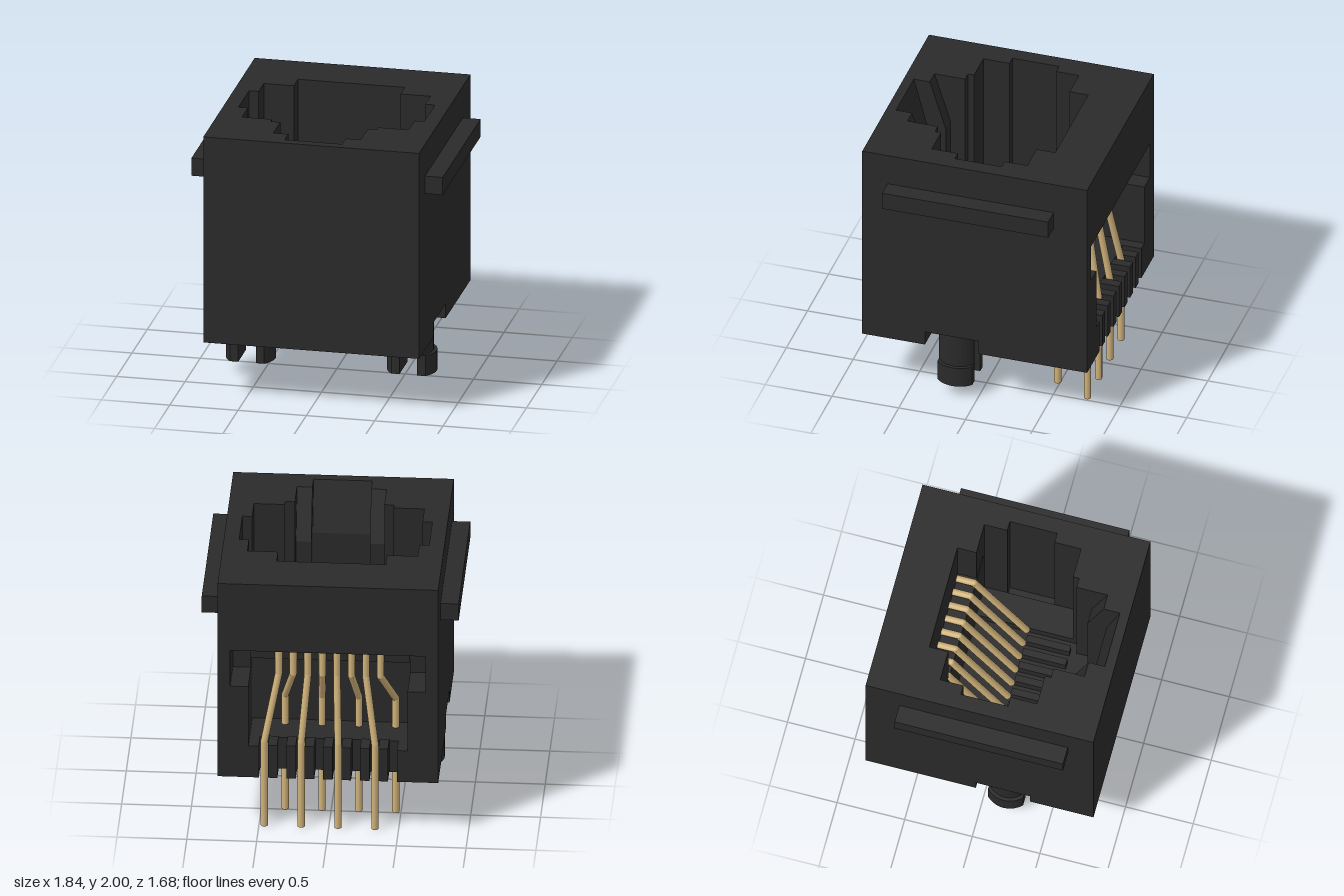
import * as THREE from 'three';

export function createModel() {
  const root = new THREE.Group();
  const plastic = new THREE.MeshStandardMaterial({ color: 0x2a2a2a });
  plastic.name = 'black plastic';
  const brass = new THREE.MeshStandardMaterial({ color: 0xd0b27a });
  brass.name = 'gold metal';

  const add = (name, geo, mat = plastic, parent = root) => {
    const m = new THREE.Mesh(geo, mat);
    m.name = name;
    parent.add(m);
    return m;
  };
  const box = (name, x0, x1, y0, y1, z0, z1) =>
    add(name, new THREE.BoxGeometry(x1 - x0, y1 - y0, z1 - z0)
      .translate((x0 + x1) / 2, (y0 + y1) / 2, (z0 + z1) / 2));
  // outline points, wound counter-clockwise so that hole walls face inwards
  const toPts = (pts) => {
    const v = pts.map(([x, z]) => new THREE.Vector2(x, -z));
    return THREE.ShapeUtils.isClockWise(v) ? v.reverse() : v;
  };
  // horizontal slab from an [x, z] outline
  const slab = (name, pts, y0, y1, hole) => {
    const s = new THREE.Shape(toPts(pts));
    if (hole) s.holes.push(new THREE.Path(toPts(hole).reverse()));
    const g = new THREE.ExtrudeGeometry(s, { depth: y1 - y0, bevelEnabled: false });
    return add(name, g.rotateX(-Math.PI / 2).translate(0, y0, 0));
  };
  // prism from a [z, y] profile, running between x0 and x1
  const prism = (name, pts, x0, x1) => {
    const s = new THREE.Shape(pts.map(([z, y]) => new THREE.Vector2(-z, y)));
    const g = new THREE.ExtrudeGeometry(s, { depth: x1 - x0, bevelEnabled: false });
    return add(name, g.rotateY(Math.PI / 2).translate(x0, 0, 0));
  };
  // mirror a right half outline into a closed loop
  const mirror = (half) => [...half, ...half.map(([x, z]) => [-x, z]).reverse()];

  // housing: stacked slabs around the plug cavity
  const W = 0.79, ZB = -0.845, ZF = 0.84;
  const outer = mirror([[W, ZB], [W, ZF]]);
  const cavity = [[0.61, -0.34], [0.61, -0.17], [0.68, -0.17], [0.68, 0.18], [0.61, 0.18],
    [0.61, 0.375], [0.39, 0.375], [0.39, 0.42], [0.32, 0.42], [0.32, 0.65], [0.21, 0.65], [0.21, 0.77]];
  slab('housingTop', outer, 1.46, 2, mirror([[0.39, -0.48], [0.39, -0.34], ...cavity]));
  const openBack = (mouth) => mirror([...[...cavity].reverse(), ...[...mouth].reverse(), [W, ZB], [W, ZF]]);
  slab('housingMiddle', openBack([[0.7, ZB], [0.7, -0.55], [0.57, -0.55], [0.57, -0.34]]), 1.17, 1.46);
  slab('housingLower', openBack([[0.57, ZB], [0.57, -0.34]]), 0.62, 1.17);

  // floor with latch hole and a notch for the pin comb
  const latchHole = mirror([[0.32, 0.52], [0.32, 0.53], [0.21, 0.53], [0.21, 0.67]]);
  const notch = [[0.57, -0.7], [0.57, ZB], [W, ZB]];
  slab('floor', mirror([...notch, [W, ZF]]), 0.545, 0.62, latchHole);
  slab('base', mirror([...notch, [W, -0.03], [0.39, -0.03], [0.39, 0.37], [W, 0.37], [W, ZF]]),
    0.437, 0.545, latchHole);

  // latch ramp and retaining shoulders
  prism('latchRamp', [[0.77, 2], [0.67, 1.62], [0.67, 0.62], [0.77, 0.62]], -0.21, 0.21);
  for (const x of [-0.32, 0.21])
    prism('latchShoulder', [[0.65, 2], [0.53, 1.62], [0.53, 0.62], [0.65, 0.62]], x, x + 0.11);

  // contact carrier
  box('carrierBase', -0.57, 0.57, 0.62, 0.69, -0.7, -0.34);
  box('carrierBar', -0.57, 0.57, 1.3, 1.46, -0.65, -0.48);
  box('carrierLedge', -0.57, 0.57, 1.3, 1.4, -0.48, -0.34);
  box('carrierWall', -0.57, 0.57, 0.69, 1.3, -0.42, -0.34);
  for (let i = 0; i < 7; i++) {
    const x = (i - 3) * 0.132;
    box('combTooth', x - 0.034, x + 0.034, 0.437, 0.7, ZB, -0.7);
    const f = (i - 3) * 0.104;
    box('floorRib', f - 0.026, f + 0.026, 0.62, 0.7, 0.05, 0.375);
  }

  // mirrored side rails, floor sides, comb ends and split pegs
  for (const s of [-1, 1]) {
    const pair = (name, a, b, ...rest) => box(name, s > 0 ? a : -b, s > 0 ? b : -a, ...rest);
    pair('sideRail', W, 0.92, 1.627, 1.76, -0.595, 0.65);
    pair('floorSide', 0.39, 0.61, 0.62, 0.7, -0.34, 0.375);
    pair('combEnd', 0.495, 0.57, 0.437, 0.69, ZB, -0.7);
    for (const side of [-1, 1]) {
      const half = (r) => {
        const a = Math.asin(0.13 / r), pts = [[s * 0.59 + side * 0.065, 0.17 - 0.13]];
        for (let k = 0; k <= 10; k++) {
          const t = -a + (2 * a * k) / 10;
          pts.push([s * 0.59 + side * r * Math.cos(t), 0.17 + r * Math.sin(t)]);
        }
        pts.push([s * 0.59 + side * 0.065, 0.17 + 0.13]);
        return pts;
      };
      slab('pegShaft', half(0.155), 0.263, 0.545);
      slab('pegFoot', half(0.18), 0.108, 0.263);
    }
  }

  // eight bent contacts, tails alternating between two rows
  const up = new THREE.Vector3(0, 1, 0), R = 0.026;
  for (let i = 0; i < 8; i++) {
    const tail = (i - 3.5) * 0.132, x = (i - 3.5) * 0.104;
    const inner = i % 2 === 0;
    const z = inner ? -0.48 : -0.745;
    const path = [[tail, 0, z], [tail, inner ? 0.92 : 0.68, z], [x, 1.19, -0.66], [x, 1.43, -0.66],
      [x, 1.43, -0.35], [x, 0.72, 0.04]].map((p) => new THREE.Vector3(...p));
    const pin = new THREE.Group();
    pin.name = 'contactPin';
    root.add(pin);
    for (let k = 0; k < path.length - 1; k++) {
      const d = path[k + 1].clone().sub(path[k]);
      const seg = add('pinSegment', new THREE.CylinderGeometry(R, R, d.length(), 12), brass, pin);
      seg.position.copy(path[k]).addScaledVector(d, 0.5);
      seg.quaternion.setFromUnitVectors(up, d.normalize());
      if (k > 0) add('pinBend', new THREE.SphereGeometry(R, 12, 8), brass, pin).position.copy(path[k]);
    }
  }
  return root;
}
